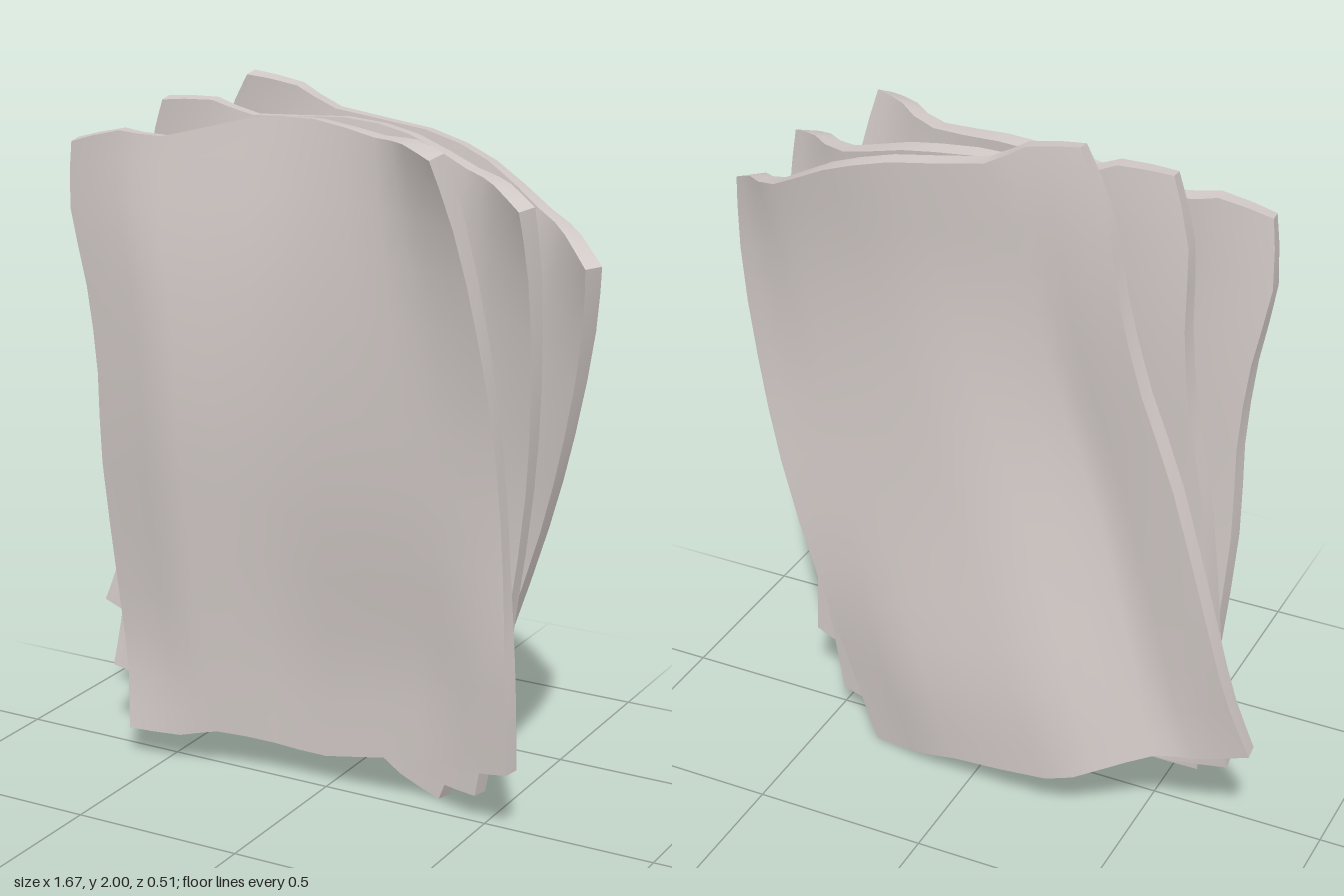
import * as THREE from 'three';

const THICKNESS = 0.045;
const curve = (pts) => new THREE.SplineCurve(pts.map(([x, y]) => new THREE.Vector2(x, y)));

// Wavy outline of one sheet: left to right, and top to bottom
const top = curve([[-0.715, 1.81], [-0.57, 1.85], [-0.45, 1.84], [-0.2, 1.905], [0, 1.92], [0.2, 1.895], [0.32, 1.9], [0.435, 1.88]]);
const bottom = curve([[-0.605, 0.09], [-0.44, 0.095], [-0.33, 0.12], [-0.16, 0.105], [0, 0.095], [0.3, 0.16], [0.46, 0.17], [0.605, 0.2]]);
const left = curve([[-0.715, 1.81], [-0.735, 1.62], [-0.7, 1.4], [-0.68, 1.15], [-0.685, 0.88], [-0.655, 0.5], [-0.62, 0.25], [-0.605, 0.09]]);
const right = curve([[0.435, 1.88], [0.48, 1.7], [0.53, 1.4], [0.56, 1.1], [0.582, 0.75], [0.597, 0.52], [0.602, 0.36], [0.605, 0.2]]);

// Depth of the front face, rows from top to bottom
const depthRows = [
  [0.145, 0.11, 0.06, 0.12, 0.255],
  [0.115, 0.14, 0.105, 0.12, 0.165],
  [0.09, 0.14, 0.09, 0.09, 0.09],
  [0.055, 0.09, 0.02, 0.035, 0.10],
  [0.09, 0.06, 0.0, 0.03, 0.09],
].map((row) => curve(row.map((z, i) => [i, z])));

const depth = (u, v) => curve(depthRows.map((row, i) => [i, row.getPoint(u).y])).getPoint(v).y;

// Surface patch stretched between the four edges
function surface(u, v) {
  const t = top.getPoint(u), b = bottom.getPoint(u);
  const l = left.getPoint(v), r = right.getPoint(v);
  const c = [top.getPoint(0), top.getPoint(1), bottom.getPoint(0), bottom.getPoint(1)];
  const blend = (k) => (1 - v) * t[k] + v * b[k] + (1 - u) * l[k] + u * r[k]
    - (1 - v) * ((1 - u) * c[0][k] + u * c[1][k]) - v * ((1 - u) * c[2][k] + u * c[3][k]);
  return new THREE.Vector3(blend('x'), blend('y'), depth(u, v));
}

function surfaceNormal(u, v) {
  const e = 0.02;
  const u0 = Math.max(0, u - e), u1 = Math.min(1, u + e);
  const v0 = Math.max(0, v - e), v1 = Math.min(1, v + e);
  const du = surface(u1, v).sub(surface(u0, v));
  const dv = surface(u, v0).sub(surface(u, v1));
  return du.cross(dv).normalize();
}

// A box bent onto the surface patch, centred on its pivot
function sheetGeometry() {
  const g = new THREE.BoxGeometry(1, 1, 1, 14, 14, 1);
  const p = g.attributes.position;
  for (let i = 0; i < p.count; i++) {
    const u = p.getX(i) + 0.5, v = 0.5 - p.getY(i);
    const q = surface(u, v);
    if (p.getZ(i) < 0) q.addScaledVector(surfaceNormal(u, v), -THICKNESS);
    p.setXYZ(i, q.x, q.y, q.z);
  }
  g.translate(0.065, -0.996, 0);
  g.computeVertexNormals();
  return g;
}

export function createModel() {
  const model = new THREE.Group();
  model.name = 'sheetStack';
  const paper = new THREE.MeshStandardMaterial({ color: 0xd0c8c5 });
  paper.name = 'warm grey';
  const geometry = sheetGeometry();

  // Three copies fanned out behind one another, each tilted a little more
  const sheets = [
    ['frontSheet', -0.065, 0, 0, 0],
    ['middleSheet', -0.0175, -0.097, -11.9, -1.6],
    ['backSheet', 0.014, -0.187, -22.8, -3.2],
  ];
  for (const [name, x, z, fan, tilt] of sheets) {
    const sheet = new THREE.Mesh(geometry, paper);
    sheet.name = name;
    sheet.position.set(x, 0.996, z);
    sheet.rotation.z = THREE.MathUtils.degToRad(fan);
    sheet.rotation.y = THREE.MathUtils.degToRad(tilt);
    model.add(sheet);
  }
  return model;
}
